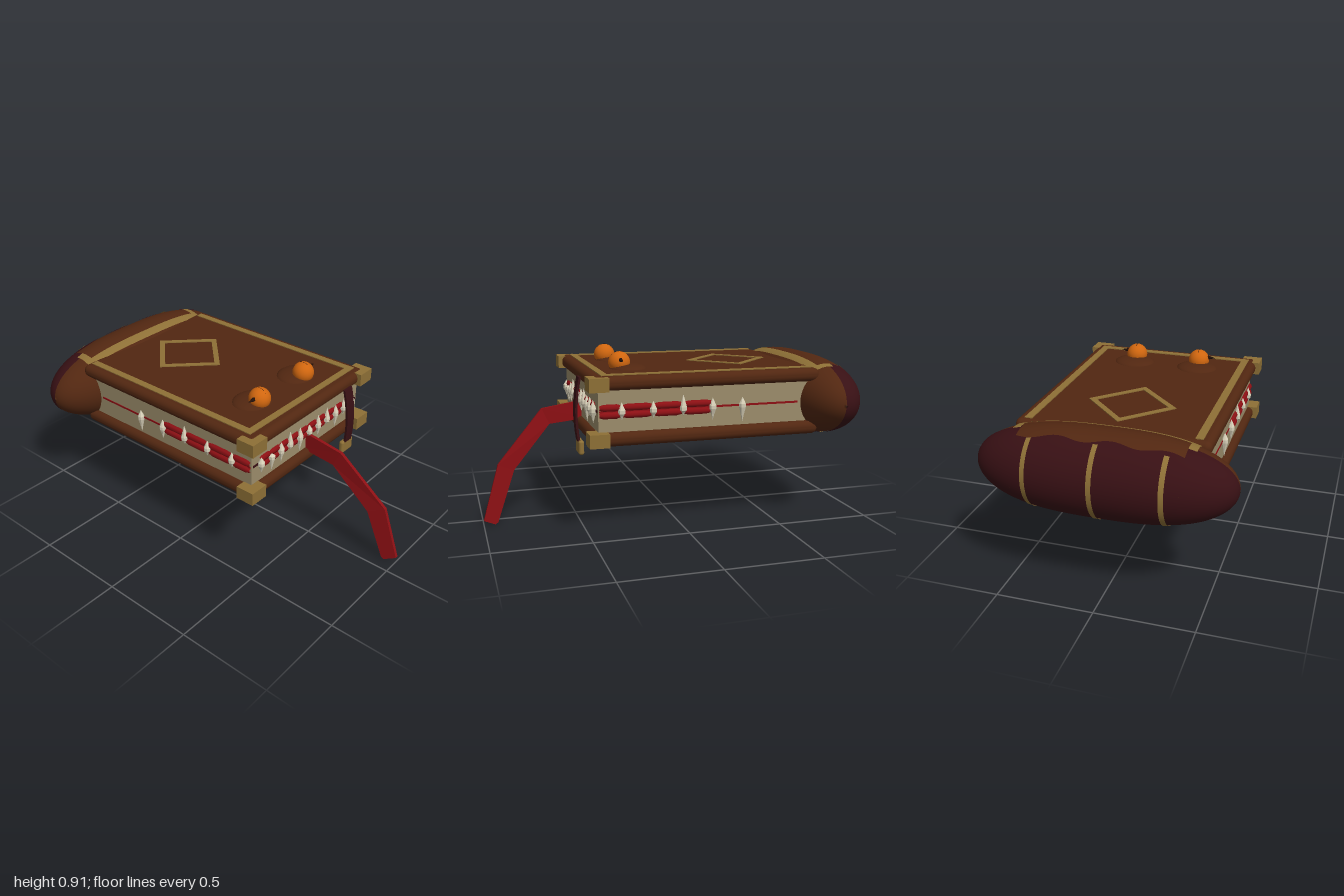
import * as THREE from 'three';
import { RoundedBoxGeometry } from 'three/addons/geometries/RoundedBoxGeometry.js';
import { ParametricGeometry } from 'three/addons/geometries/ParametricGeometry.js';

const mat = (name, color, extra = {}) => {
  const m = new THREE.MeshStandardMaterial({ color, ...extra });
  m.name = name;
  return m;
};

export function createModel() {
  const group = new THREE.Group();
  const leather = mat('brown leather', 0x522711);
  const maroon = mat('dark maroon leather', 0x381014);
  const gold = mat('old gold', 0x8e7036, { side: THREE.DoubleSide });
  const paper = mat('page paper', 0x9c8d6b);
  const red = mat('tongue red', 0x8e1014, { side: THREE.DoubleSide });
  const ivory = mat('tooth ivory', 0xd8d0b8, { flatShading: true });
  const orange = mat('eye orange', 0xd0660f);
  const black = mat('pupil dark', 0x241008);

  const add = (name, geo, material, x = 0, y = 0, z = 0) => {
    const m = new THREE.Mesh(geo, material);
    m.name = name;
    m.position.set(x, y, z);
    group.add(m);
    return m;
  };
  const box = (name, w, h, d, material, x, y, z) =>
    add(name, new THREE.BoxGeometry(w, h, d), material, x, y, z);

  // Covers and page block
  for (const [name, y] of [['topCover', 0.783], ['bottomCover', 0.506]])
    add(name, new RoundedBoxGeometry(0.966, 0.07, 1.2, 4, 0.032), leather, 0, y, -0.113);
  box('pages', 0.9, 0.23, 1.13, paper, 0, 0.645, -0.11);

  // Bulging spine: patches around the x axis, angle measured from +z towards +y
  const HALF = 0.635, R = 0.212;
  const spinePatch = (name, x0, x1, a0, a1, lift, material, nx = 24, na = 24) => {
    const at = (a, x) => (typeof a === 'function' ? a(x) : a);
    const s0 = Math.asin(x0 / HALF), s1 = Math.asin(x1 / HALF);
    const geo = new ParametricGeometry((u, v, p) => {
      const x = HALF * Math.sin(s0 + (s1 - s0) * u);
      const r = R * Math.sqrt(Math.max(1 - Math.abs(x / HALF) ** 2.8, 0.00005)) + lift;
      const a = at(a0, x) + (at(a1, x) - at(a0, x)) * v;
      p.set(x, 0.643 + r * Math.sin(a), -0.785 + r * Math.cos(a));
    }, nx, na);
    return add(name, geo, material);
  };
  spinePatch('spine', -HALF, HALF, 0, Math.PI * 2, 0, leather, 48, 40);
  spinePatch('spineBack', -0.4, 0.4, (x) => 2.0 + 0.06 * Math.sin(x * 24), 4.98, 0.003, maroon, 40);
  spinePatch('spineBackEnd', 0.4, HALF, 1.58, 4.75, 0.003, maroon);
  spinePatch('spineBackEnd', -HALF, -0.4, 1.58, 4.75, 0.003, maroon);
  for (const x of [-0.325, 0, 0.325])
    spinePatch('spineBand', x - 0.012, x + 0.012, 2.08, 4.9, 0.006, gold, 2);

  // Gold trim on the top cover, climbing onto the spine
  const trimY = 0.8195;
  box('frontTrim', 0.88, 0.006, 0.036, gold, 0, trimY, 0.418);
  spinePatch('backTrim', -0.44, 0.44, 1.05, 1.285, 0.005, gold, 24, 6);
  for (const s of [-1, 1]) {
    box('sideTrim', 0.038, 0.006, 1.11, gold, s * 0.42, trimY, -0.125);
    spinePatch('sideTrimEnd', s * 0.42 - 0.02, s * 0.42 + 0.02, 0.9, 1.68, 0.006, gold, 2, 10);
  }

  // Diamond ornament
  const diamond = (path, w, h) => {
    path.moveTo(w, 0);
    path.lineTo(0, h);
    path.lineTo(-w, 0);
    path.lineTo(0, -h);
    path.closePath();
    return path;
  };
  const ring = diamond(new THREE.Shape(), 0.228, 0.23);
  ring.holes.push(diamond(new THREE.Path(), 0.188, 0.19));
  add('diamond', new THREE.ExtrudeGeometry(ring, { depth: 0.005, bevelEnabled: false }), gold, 0, 0.8175, -0.37)
    .rotation.x = -Math.PI / 2;

  // Metal corners
  for (const s of [-1, 1])
    for (const y of [0.782, 0.509])
      box('cornerGuard', 0.104, 0.068, 0.1, gold, s * 0.452, y, 0.458);

  // Lips: tapered segments between neighbouring teeth
  const lip = (from, to) => {
    for (const y of [0.625, 0.662]) {
      const a = new THREE.Vector3(from[0], y, from[1]);
      const d = new THREE.Vector3(to[0], y, to[1]).sub(a);
      const len = d.length();
      const geo = new THREE.LatheGeometry([[0.011, 0], [0.018, 0.2], [0.018, 0.8], [0.011, 1]]
        .map(([r, t]) => new THREE.Vector2(r, t * len)), 8);
      const m = add('lip', geo, red, a.x, a.y, a.z);
      m.quaternion.setFromUnitVectors(new THREE.Vector3(0, 1, 0), d.normalize());
    }
  };
  const tooth = (x, z, low, high) => add('tooth', new THREE.LatheGeometry([
    [0, low], [0.009, low * 0.5 + 0.32], [0.018, 0.633], [0.018, 0.65], [0.009, high * 0.5 + 0.325], [0, high],
  ].map(([r, y]) => new THREE.Vector2(r, y)), 7), ivory, x, 0, z);

  // Front mouth
  const front = [[-0.39, 0.59, 0.68], [-0.31, 0.565, 0.66], [-0.235, 0.575, 0.69], [-0.163, 0.61, 0.72],
    [-0.08, 0.56, 0.705], [0, 0.6, 0.68], [0.077, 0.58, 0.705], [0.155, 0.61, 0.715],
    [0.235, 0.56, 0.695], [0.31, 0.6, 0.7], [0.39, 0.58, 0.695]];
  front.forEach(([x, low, high], i) => {
    tooth(x, 0.468, low, high);
    if (i) lip([front[i - 1][0], 0.452], [x, 0.452]);
  });
  box('frontSlit', 0.88, 0.012, 0.004, maroon, 0, 0.643, 0.456);

  // Side mouths
  const side = [[0.34, 0.6, 0.69], [0.18, 0.6, 0.69], [0.025, 0.605, 0.715],
    [-0.13, 0.575, 0.69], [-0.29, 0.555, 0.685]];
  for (const s of [-1, 1]) {
    side.forEach(([z, low, high], i) => {
      tooth(s * 0.46, z, low, high);
      if (i < 4) lip([s * 0.449, i ? side[i - 1][0] : 0.45], [s * 0.449, z]);
    });
    box('sideSlit', 0.004, 0.01, 1.05, red, s * 0.451, 0.643, -0.075);
  }

  // Tongue: thin ribbon drawn in side profile, drifting sideways as it falls
  const tongueShape = new THREE.Shape([[0.42, 0.53], [0.63, 0.508], [0.83, 0.28], [0.925, 0.01],
    [0.94, 0.0], [1.0, 0.03], [0.915, 0.32], [0.67, 0.593], [0.42, 0.632]].map(([z, y]) => new THREE.Vector2(z, y)));
  const tongue = new THREE.ExtrudeGeometry(tongueShape, { depth: 0.018, bevelEnabled: false });
  const tp = tongue.attributes.position;
  for (let i = 0; i < tp.count; i++) {
    const z = tp.getX(i), drift = Math.max(0, z - 0.66) * 0.28;
    tp.setXYZ(i, 0.009 - tp.getZ(i) + drift, tp.getY(i), z);
  }
  tongue.computeVertexNormals();
  add('tongue', tongue, red);

  // Eyes with lids, upright slit pupils and a pointed outer lash
  for (const s of [-1, 1]) {
    const x = s * 0.182;
    add('eye', new THREE.SphereGeometry(0.057, 24, 16), orange, x, 0.848, 0.285);
    add('eyeSocket', new THREE.SphereGeometry(1, 24, 12), leather, x, 0.812, 0.24).scale.set(0.115, 0.03, 0.1);
    add('pupil', new THREE.SphereGeometry(1, 10, 8), black, x, 0.849, 0.285).scale.set(0.007, 0.0575, 0.0575);
    const lash = add('lash', new THREE.ConeGeometry(0.014, 0.05, 6), black, s * 0.25, 0.864, 0.288);
    lash.rotation.z = -s * Math.PI / 2;
  }

  // Strap hanging over the mouth, with its buckle
  const strap = new THREE.BoxGeometry(0.066, 0.325, 0.012, 1, 8, 1);
  const sp = strap.attributes.position;
  for (let i = 0; i < sp.count; i++) {
    const t = 0.5 - sp.getY(i) / 0.325;
    sp.setX(i, sp.getX(i) * (1 - 0.12 * t) + 0.018 * t);
    sp.setZ(i, sp.getZ(i) + 0.505 + 0.012 * t + 0.065 * t * (1 - t));
  }
  strap.computeVertexNormals();
  add('strap', strap, maroon, 0.266, 0.633, 0.008);
  add('buckle', new RoundedBoxGeometry(0.098, 0.074, 0.028, 3, 0.012), gold, 0.284, 0.442, 0.517);

  return group;
}
